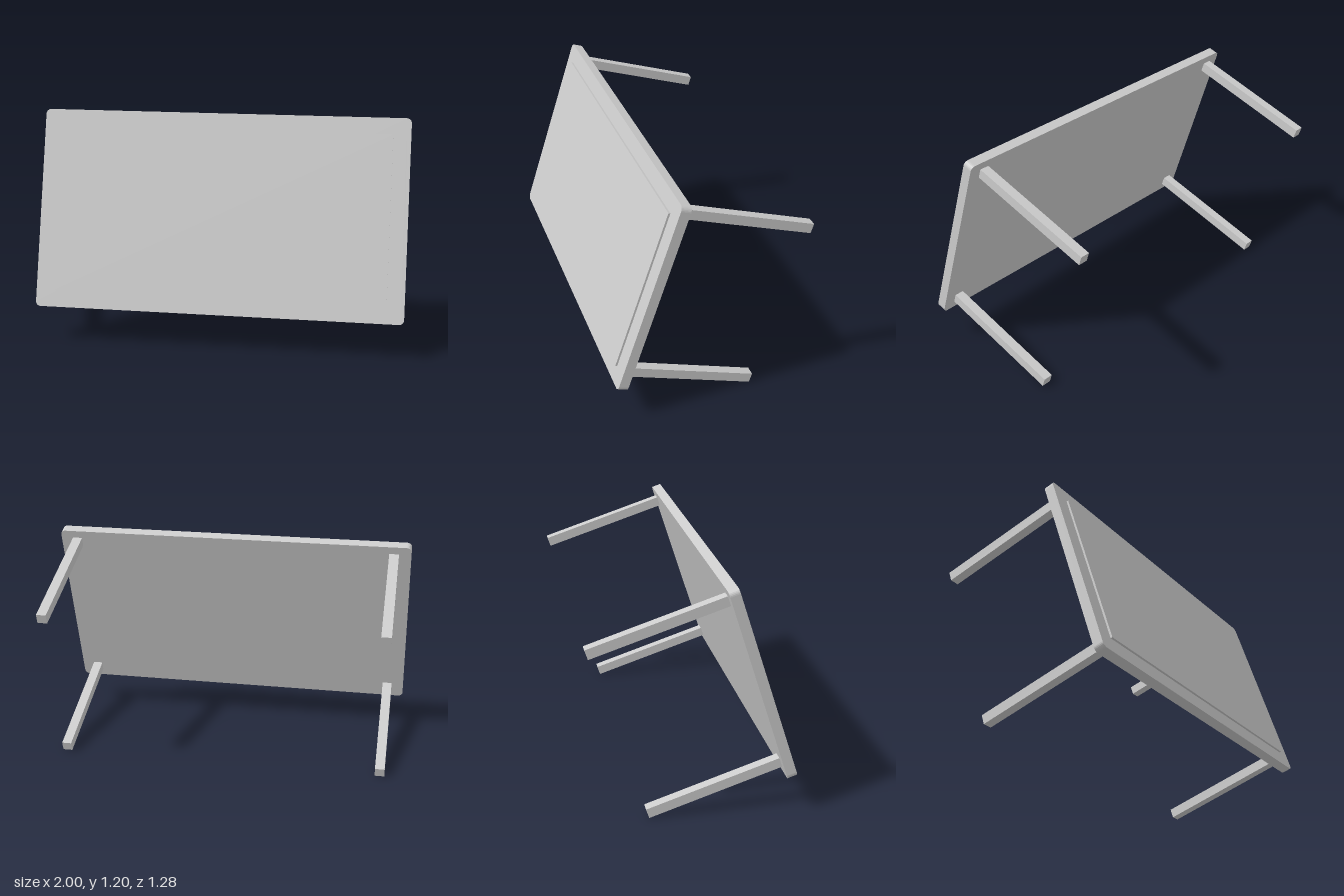
import * as THREE from 'three';

const WIDTH = 1.94, DEPTH = 1.056, THICK = 0.052;   // tabletop
const LEG = 0.052, LEG_END = -0.758;                // leg section and far end
const LEG_X = 0.878, LEG_Y = 0.459;                 // leg centres
const PANEL_W = 1.757, PANEL_D = 0.883, PANEL_H = 0.01;

// Rectangle with small rounded corners
function roundedRect(w, h, r) {
  const x = w / 2, y = h / 2;
  const s = new THREE.Shape();
  s.absarc(x - r, y - r, r, 0, Math.PI / 2);
  s.absarc(-x + r, y - r, r, Math.PI / 2, Math.PI);
  s.absarc(-x + r, -y + r, r, Math.PI, Math.PI * 1.5);
  s.absarc(x - r, -y + r, r, Math.PI * 1.5, Math.PI * 2);
  s.closePath();
  return s;
}

export function createModel() {
  const lightGrey = new THREE.MeshStandardMaterial({ color: 0xcccccc });
  lightGrey.name = 'lightGrey';

  // Table lies in its own frame: top surface at z = 0 facing +z, legs along -z
  const table = new THREE.Group();
  table.name = 'table';

  function add(name, geometry, x, y, z) {
    const mesh = new THREE.Mesh(geometry, lightGrey);
    mesh.name = name;
    mesh.position.set(x, y, z);
    table.add(mesh);
  }

  // Slab with rounded corners
  add('tabletop', new THREE.ExtrudeGeometry(roundedRect(WIDTH, DEPTH, 0.026),
    { depth: THICK, bevelEnabled: false, curveSegments: 3 }), 0, 0, -THICK);

  // Slightly raised panel
  add('raisedPanel', new THREE.BoxGeometry(PANEL_W, PANEL_D, PANEL_H), 0, 0, PANEL_H / 2);

  // Four square legs
  const length = -LEG_END - THICK;
  const legGeometry = new THREE.BoxGeometry(LEG, LEG, length);
  for (const sx of [-1, 1]) {
    for (const sy of [-1, 1]) {
      const name = (sy > 0 ? 'upper' : 'lower') + (sx > 0 ? 'Left' : 'Right') + 'Leg';
      add(name, legGeometry, sx * LEG_X, sy * LEG_Y, LEG_END + length / 2);
    }
  }

  // Tip the table back and turn it
  table.rotation.set(-Math.PI / 10, THREE.MathUtils.degToRad(8), 0, 'YXZ');
  table.position.set(0.017, 0.697, 0.345);

  const model = new THREE.Group();
  model.name = 'tiltedTable';
  model.add(table);
  return model;
}
